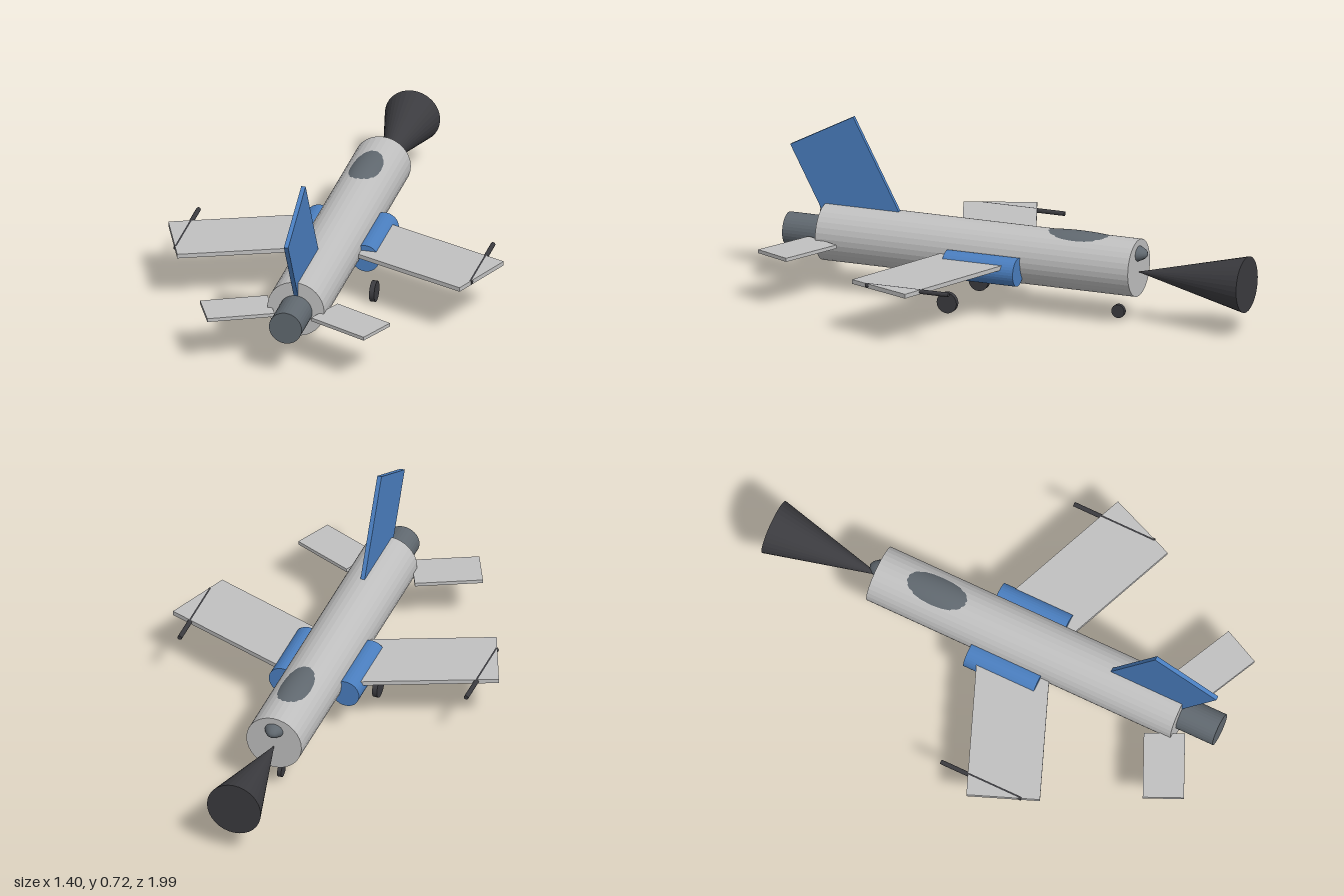
import * as THREE from 'three';

const paint = (name, color) => {
  const m = new THREE.MeshStandardMaterial({ color });
  m.name = name;
  return m;
};

export function createModel() {
  const grey = paint('light grey', 0xc0c0c0);
  const blue = paint('blue', 0x4a7ebf);
  const slate = paint('slate', 0x60686f);
  const dark = paint('near black', 0x3b3b3f);

  const model = new THREE.Group();
  model.name = 'jet';

  const add = (name, geometry, material, x, y, z) => {
    const mesh = new THREE.Mesh(geometry, material);
    mesh.name = name;
    mesh.position.set(x, y, z);
    model.add(mesh);
    return mesh;
  };

  // Faceted cylinder lying along z, between two z positions
  const barrel = (name, material, radius, z0, z1, x, y, sides = 32) => {
    const g = new THREE.CylinderGeometry(radius, radius, z1 - z0, sides).rotateX(Math.PI / 2).toNonIndexed();
    g.computeVertexNormals();
    return add(name, g, material, x, y, (z0 + z1) / 2);
  };

  // Wheel with its axle along x
  const wheel = (name, radius, width, x, y, z) =>
    add(name, new THREE.CylinderGeometry(radius, radius, width, 24).rotateZ(Math.PI / 2), dark, x, y, z);

  // Body and exhaust
  barrel('fuselage', grey, 0.118, -0.53, 0.83, 0, 0.229);
  barrel('nozzle', slate, 0.068, 0.78, 0.994, 0, 0.221);

  // Nose cone, with its point against the fuselage
  const cone = new THREE.ConeGeometry(0.115, 0.475, 32).rotateX(Math.PI / 2).toNonIndexed();
  cone.computeVertexNormals();
  add('noseCone', cone, dark, 0, 0.212, -0.7625);
  barrel('noseProbe', dark, 0.004, -0.533, -0.5, 0, 0.295, 8);

  // Shallow canopy sunk into the fuselage
  add('canopy', new THREE.SphereGeometry(1, 32, 24).scale(0.08, 0.064, 0.3), slate, 0, 0.289, -0.27);

  // Swept tail fin
  const fin = add('tailFin', new THREE.BoxGeometry(0.018, 0.45, 0.309), blue, 0, 0.451, 0.741);
  fin.rotation.x = THREE.MathUtils.degToRad(27.9);

  // Mirrored parts
  for (const [side, s] of [['left', 1], ['right', -1]]) {
    const wing = add(side + 'Wing', new THREE.BoxGeometry(0.6, 0.018, 0.297), grey, s * 0.364, 0.219, 0.226);
    wing.rotation.y = -s * THREE.MathUtils.degToRad(21.8);

    const tail = add(side + 'Tailplane', new THREE.BoxGeometry(0.275, 0.015, 0.166), grey, s * 0.2355, 0.214, 0.8585);
    tail.rotation.y = -s * THREE.MathUtils.degToRad(25);

    barrel(side + 'Intake', blue, 0.058, -0.06, 0.25, s * 0.135, 0.193);
    barrel(side + 'WingRail', dark, 0.0095, 0.045, 0.405, s * 0.613, 0.2195, 12);
    wheel(side + 'MainWheel', 0.043, 0.021, s * 0.168, 0.043, 0.233);
  }
  wheel('noseWheel', 0.028, 0.017, 0, 0.038, -0.442);

  return model;
}
